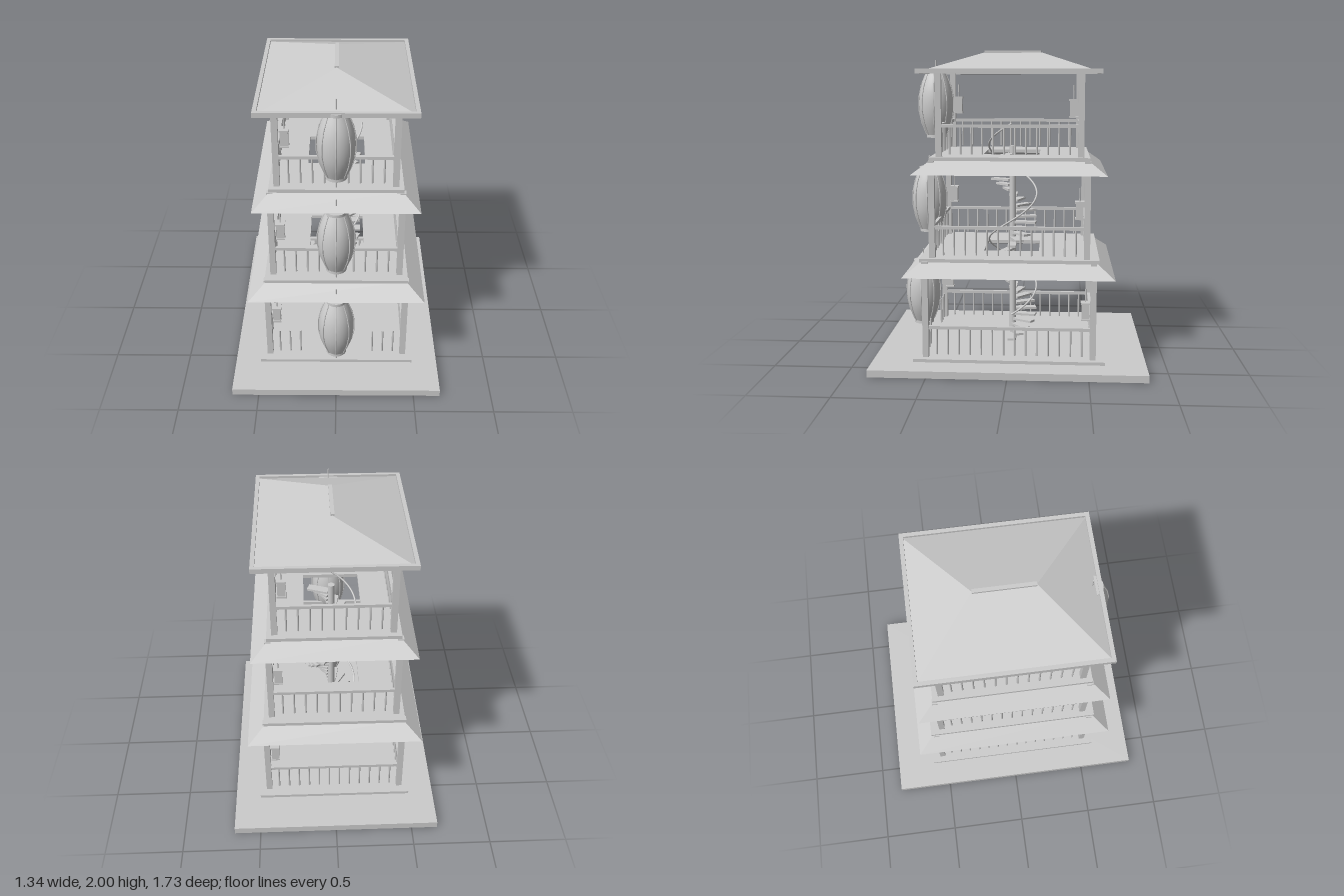
import * as THREE from 'three';

const grey = new THREE.MeshStandardMaterial({ color: 0xcccccc });
grey.name = 'light grey';
grey.side = THREE.DoubleSide;

function add(parent, name, geometry, x = 0, y = 0, z = 0) {
  const mesh = new THREE.Mesh(geometry, grey);
  mesh.name = name;
  mesh.position.set(x, y, z);
  parent.add(mesh);
  return mesh;
}

// Box given by its bottom height
function box(parent, name, w, h, d, x, y, z) {
  return add(parent, name, new THREE.BoxGeometry(w, h, d), x, y + h / 2, z);
}

function rod(parent, name, r, y0, y1, x, z, sides = 8) {
  return add(parent, name, new THREE.CylinderGeometry(r, r, y1 - y0, sides), x, (y0 + y1) / 2, z);
}

// Four sloping faces between a lower and an upper rectangle
function slopes(parent, name, bx, bz, y0, tx, tz, y1) {
  const signs = [[1, 1], [1, -1], [-1, -1], [-1, 1]];
  const pos = [];
  signs.forEach(([sx, sz], i) => {
    const [nx, nz] = signs[(i + 1) % 4];
    const a = [sx * bx, y0, sz * bz], b = [nx * bx, y0, nz * bz];
    const c = [nx * tx, y1, nz * tz], d = [sx * tx, y1, sz * tz];
    pos.push(...a, ...b, ...c, ...a, ...c, ...d);
  });
  const g = new THREE.BufferGeometry();
  g.setAttribute('position', new THREE.Float32BufferAttribute(pos, 3));
  g.computeVertexNormals();
  return add(parent, name, g);
}

// Floor slab with a square stair opening
function slab(parent, hx, hz, y, h) {
  const rect = (C, a, b) => new C([[-a, -b], [a, -b], [a, b], [-a, b]].map(p => new THREE.Vector2(...p)));
  const s = rect(THREE.Shape, hx, hz);
  s.holes.push(rect(THREE.Path, 0.18, 0.18));
  const g = new THREE.ExtrudeGeometry(s, { depth: h, bevelEnabled: false });
  g.rotateX(-Math.PI / 2);
  add(parent, 'floorSlab', g, 0, y, 0);
}

// Row of balusters with an optional handrail, along x or z
function railing(parent, half, offset, y, alongX, open = false) {
  const n = Math.round((2 * half) / 0.071);
  for (let i = 1; i < n; i++) {
    const t = -half + (2 * half * i) / n;
    if (open && Math.abs(t) < 0.18) continue;
    rod(parent, 'baluster', 0.006, y + 0.015, y + 0.188, alongX ? t : offset, alongX ? offset : t);
  }
  if (open) return;
  const len = 2 * half;
  box(parent, 'handrail', alongX ? len : 0.02, 0.02, alongX ? 0.02 : len,
    alongX ? 0 : offset, y + 0.182, alongX ? offset : 0);
}

// Large barrel lantern with eight ribs and a hanging rod
function bigLantern(parent, y, z) {
  const g = new THREE.Group();
  g.name = 'bigLantern';
  g.position.set(0, y, z);
  const profile = [[0.066, -0.2], [0.09, -0.14], [0.107, -0.075], [0.113, 0],
    [0.107, 0.075], [0.09, 0.14], [0.066, 0.2]];
  const curve = new THREE.SplineCurve(profile.map(p => new THREE.Vector2(...p)));
  add(g, 'lanternBody', new THREE.LatheGeometry(curve.getPoints(18), 32));
  for (const s of [-1, 1])
    add(g, 'lanternCap', new THREE.CylinderGeometry(0.066, 0.066, 0.022, 24), 0, s * 0.208, 0);
  const path = new THREE.CurvePath();
  const pts = [[0.067, -0.2], [0.098, -0.125], [0.116, -0.04], [0.116, 0.04], [0.098, 0.125], [0.067, 0.2]]
    .map(p => new THREE.Vector3(p[0], p[1], 0));
  for (let i = 1; i < pts.length; i++) path.add(new THREE.LineCurve3(pts[i - 1], pts[i]));
  const rib = new THREE.TubeGeometry(path, 20, 0.004, 6);
  for (let i = 0; i < 8; i++) add(g, 'lanternRib', rib).rotation.y = (i * Math.PI) / 4;
  rod(g, 'lanternRod', 0.004, -0.29, 0.29, 0, 0);
  parent.add(g);
}

// Small box lantern beside a post
function smallLantern(parent, x, y, z) {
  const g = new THREE.Group();
  g.name = 'smallLantern';
  g.position.set(x, y, z);
  box(g, 'lanternBox', 0.048, 0.1, 0.048, 0, 0.006, 0);
  box(g, 'lanternBase', 0.056, 0.01, 0.056, 0, 0, 0);
  box(g, 'lanternTop', 0.06, 0.012, 0.06, 0, 0.103, 0);
  rod(g, 'lanternHanger', 0.004, 0.11, 0.2, 0, 0);
  parent.add(g);
}

// Spiral staircase: two turns about a central pole
function staircase(parent) {
  const g = new THREE.Group();
  g.name = 'spiralStair';
  rod(g, 'stairPole', 0.022, 0.06, 1.38, 0, 0, 16);
  const perTurn = 18, rise = 0.635, steps = perTurn * 2;
  const tread = new THREE.BoxGeometry(0.14, 0.014, 0.055);
  tread.translate(0.088, 0, 0);
  for (let i = 0; i < steps; i++)
    add(g, 'stairTread', tread, 0, 0.09 + (i * rise) / perTurn, 0).rotation.y = (i * 2 * Math.PI) / perTurn;
  const pts = [];
  for (let i = 0; i <= 48; i++) {
    const a = (i * Math.PI) / 12;
    pts.push(new THREE.Vector3(0.16 * Math.cos(a), 0.265 + (rise * i) / 24, -0.16 * Math.sin(a)));
  }
  add(g, 'stairHandrail', new THREE.TubeGeometry(new THREE.CatmullRomCurve3(pts), 120, 0.006, 8));
  parent.add(g);
}

export function createModel() {
  const model = new THREE.Group();
  model.name = 'pagoda';

  // Ground plinth and lowest floor
  box(model, 'plinth', 1.34, 0.045, 1.73, 0, 0, 0);
  box(model, 'groundFloor', 1.01, 0.02, 1.21, 0, 0.045, 0);

  // Storeys: floor height, post top, post position, big lantern position
  const storeys = [
    { y: 0.065, top: 0.685, x: 0.445, z: 0.53, ly: 0.38, lz: 0.613 },
    { y: 0.702, top: 1.315, x: 0.403, z: 0.487, ly: 1.018, lz: 0.562 },
    { y: 1.337, top: 1.865, x: 0.361, z: 0.444, ly: 1.652, lz: 0.51 },
  ];
  storeys.forEach((s, i) => {
    const g = new THREE.Group();
    g.name = 'storey' + (i + 1);
    for (const sx of [-1, 1]) {
      for (const sz of [-1, 1]) box(g, 'post', 0.038, s.top - s.y, 0.038, sx * s.x, s.y, sz * s.z);
      railing(g, s.z, sx * s.x, s.y, false);
      railing(g, s.x, sx * s.z, s.y, true, i === 0 && sx === 1);
      smallLantern(g, sx * (s.x - 0.052), s.y + 0.243, -sx * (s.z - 0.047));
    }
    bigLantern(g, s.ly, s.lz);
    model.add(g);
  });

  // Upper floors with their flared skirt roofs
  slab(model, 0.455, 0.565, 0.68, 0.022);
  slopes(model, 'skirtRoof', 0.558, 0.66, 0.6, 0.445, 0.55, 0.685);
  slab(model, 0.41, 0.5, 1.315, 0.022);
  slopes(model, 'skirtRoof', 0.508, 0.604, 1.235, 0.4, 0.49, 1.32);

  staircase(model);

  // Hipped top roof with eave frame and ridge
  slopes(model, 'hipRoof', 0.455, 0.55, 1.863, 0, 0.185, 1.99);
  for (const s of [-1, 1]) {
    box(model, 'eaveBeam', 0.025, 0.03, 1.135, s * 0.4625, 1.85, 0);
    box(model, 'eaveBeam', 0.95, 0.03, 0.025, 0, 1.85, s * 0.555);
  }
  box(model, 'ridge', 0.024, 0.02, 0.37, 0, 1.98, 0);
  return model;
}
